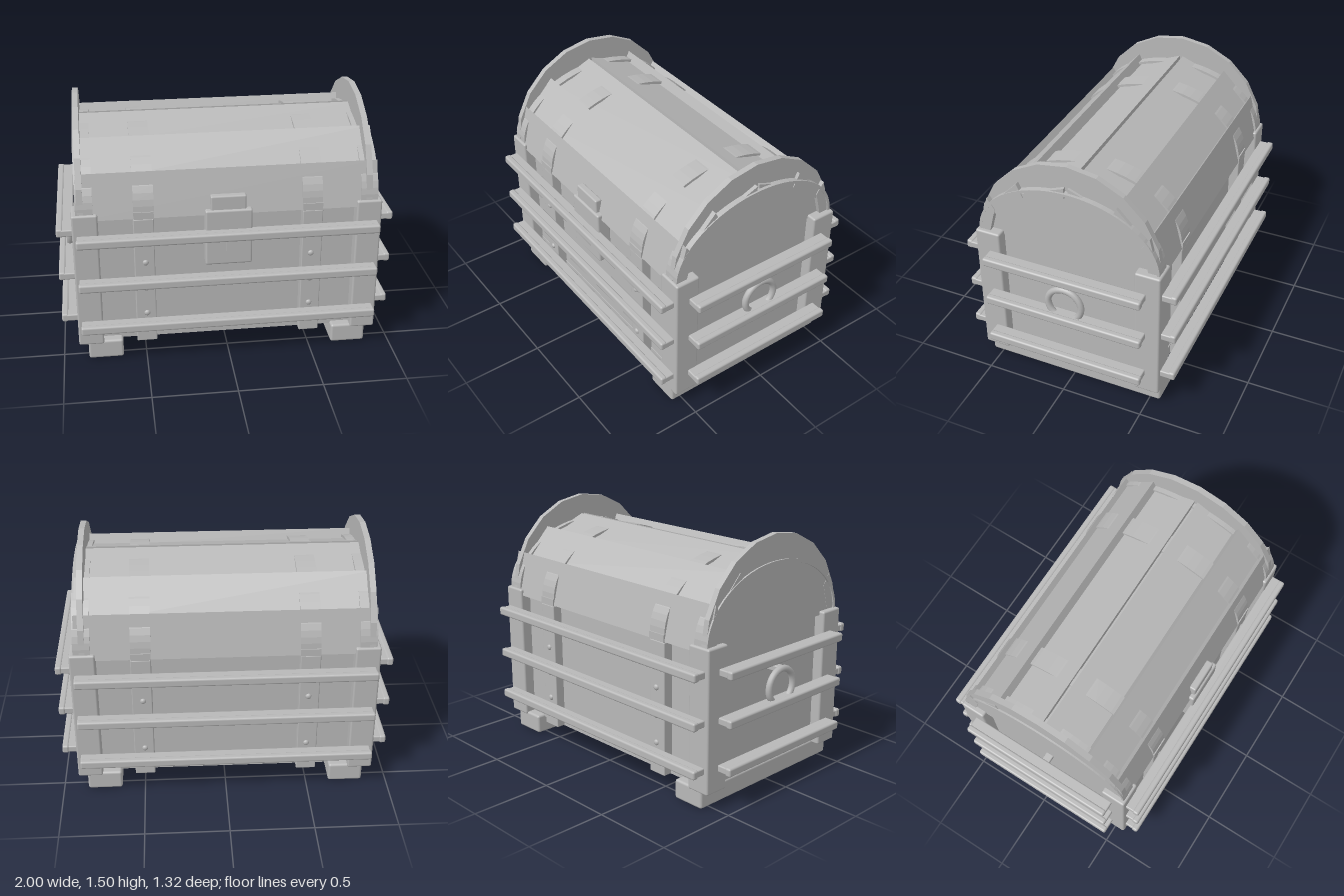
import * as THREE from 'three';
import { RoundedBoxGeometry } from 'three/addons/geometries/RoundedBoxGeometry.js';

export function createModel() {
  const model = new THREE.Group();
  model.name = 'chest';
  const grey = new THREE.MeshStandardMaterial({ color: 0xb8b8b8 });
  grey.name = 'grey';

  const add = (name, geometry, x = 0, y = 0, z = 0) => {
    const mesh = new THREE.Mesh(geometry, grey);
    mesh.name = name;
    mesh.position.set(x, y, z);
    model.add(mesh);
    return mesh;
  };
  // Box given by its limits, with small worn edges when r > 0
  const block = (name, [x0, x1], [y0, y1], [z0, z1], r = 0.01) => {
    const size = [x1 - x0, y1 - y0, z1 - z0];
    const geometry = r ? new RoundedBoxGeometry(...size, 2, r) : new THREE.BoxGeometry(...size);
    return add(name, geometry, (x0 + x1) / 2, (y0 + y1) / 2, (z0 + z1) / 2);
  };
  // Profile of [z, y] points, extruded along x and centred on the given x
  const profile = (name, points, width, x = 0) => {
    const shape = new THREE.Shape(points.map(([z, y]) => new THREE.Vector2(z, y)));
    const geometry = new THREE.ExtrudeGeometry(shape, { depth: width, bevelEnabled: false });
    geometry.translate(0, 0, -width / 2).rotateY(-Math.PI / 2);
    return add(name, geometry, x);
  };
  const span = (a, b, s) => (s > 0 ? [a, b] : [-b, -a]);
  const sides = [-1, 1];

  // Body and its slightly prouder bottom board
  block('body', [-0.84, 0.84], [0.11, 0.915], [-0.505, 0.505], 0);
  block('bottomBoard', [-0.845, 0.845], [0.105, 0.18], [-0.51, 0.51], 0);
  for (const s of sides) {
    block('foot', span(0.64, 0.85, s), [0, 0.12], [-0.565, 0.565], 0.015);
    block('endWallTop', span(0.8, 0.84, s), [0.9, 0.96], [-0.5, 0.5], 0);
  }

  // Corner posts
  for (const sx of sides) for (const sz of sides) {
    block('cornerPost', span(0.755, 0.905, sx), [0.105, 0.965], span(0.42, 0.575, sz), 0.012);
  }

  // Upright bands with rivets on the front and back
  for (const sx of sides) for (const sz of sides) {
    block('bodyBand', span(0.435, 0.555, sx), [0.105, 0.92], span(0.49, 0.565, sz), 0.006);
    for (const y of [0.3, 0.47, 0.64, 0.795]) {
      const rivet = add('rivet', new THREE.SphereGeometry(0.018, 10, 8), sx * 0.49, y, sz * 0.565);
      rivet.scale.z = 0.7;
    }
  }

  // Slats around all four sides, each with a raised outer lip
  for (const y of [0.25, 0.535, 0.818]) for (const s of sides) {
    block('longSlat', [-0.88, 0.88], [y - 0.021, y + 0.021], span(0.57, 0.645, s), 0.008);
    block('longSlatLip', [-0.885, 0.88], [y - 0.026, y + 0.026], span(0.622, 0.662, s), 0.012);
    block('endSlat', span(0.9, 0.98, s), [y - 0.021, y + 0.021], [-0.49, 0.49], 0.008);
    block('endSlatLip', span(0.96, 1.0, s), [y - 0.026, y + 0.026], [-0.495, 0.49], 0.012);
  }

  // Ring handles on the ends
  for (const s of sides) {
    const ring = add('ringHandle', new THREE.TorusGeometry(0.105, 0.02, 10, 32), s * 0.935, 0.62, 0);
    ring.rotation.y = Math.PI / 2;
    block('ringMount', span(0.83, 0.94, s), [0.705, 0.74], [-0.025, 0.025], 0.006);
  }

  // Lid boards, overlapping like shingles from the ridge down each side
  const boards = [
    [[0.01, 1.378], [0.28, 1.272], [0.262, 1.23], [0.01, 1.31]],
    [[0.3, 1.332], [0.497, 1.125], [0.45, 1.09], [0.262, 1.25]],
    [[0.495, 1.19], [0.562, 0.925], [0.5, 0.925], [0.448, 1.12]],
  ];
  boards.forEach((points, i) => {
    for (const s of sides) {
      profile('lidBoard', points.map(([z, y]) => [z * s, y]), 1.73 + 0.01 * i, 0.004 * s);
    }
  });
  profile('ridgeFiller', [[-0.02, 1.3], [0.02, 1.3], [0.02, 1.335], [-0.02, 1.335]], 1.7);

  // Curved bands under the boards, showing where the boards dip
  const arc = (a, b, n, y0) => Array.from({ length: n + 1 }, (_, i) => {
    const t = (Math.PI * i) / n;
    return [a * Math.cos(t), y0 + b * Math.sin(t)];
  });
  const bandProfile = [...arc(0.56, 0.39, 32, 0.96), ...arc(0.544, 0.374, 32, 0.96).reverse()];
  for (const s of sides) {
    profile('lidBand', bandProfile, 0.118, s * 0.492);
    profile('lidEndBand', bandProfile, 0.1, s * 0.83);
    for (const sz of sides) {
      block('lidBandFoot', span(0.435, 0.552, s), [0.92, 0.965], span(0.53, 0.566, sz), 0);
    }
  }

  // Faceted end boards rising above the lid
  const endProfile = arc(0.565, 0.565, 10, 0.94);
  profile('lidEndBoard', endProfile, 0.035, -0.852);
  profile('lidEndBoard', endProfile, 0.035, 0.828);

  // Lock with hasp and keyhole slot
  block('lockPlate', [-0.14, 0.135], [0.61, 0.96], [0.5, 0.588], 0.012);
  block('lockHasp', [-0.108, 0.1], [0.9, 1.045], [0.53, 0.575], 0.01);
  block('keyhole', [-0.02, 0.016], [0.7, 0.79], [0.584, 0.592], 0);

  return model;
}
